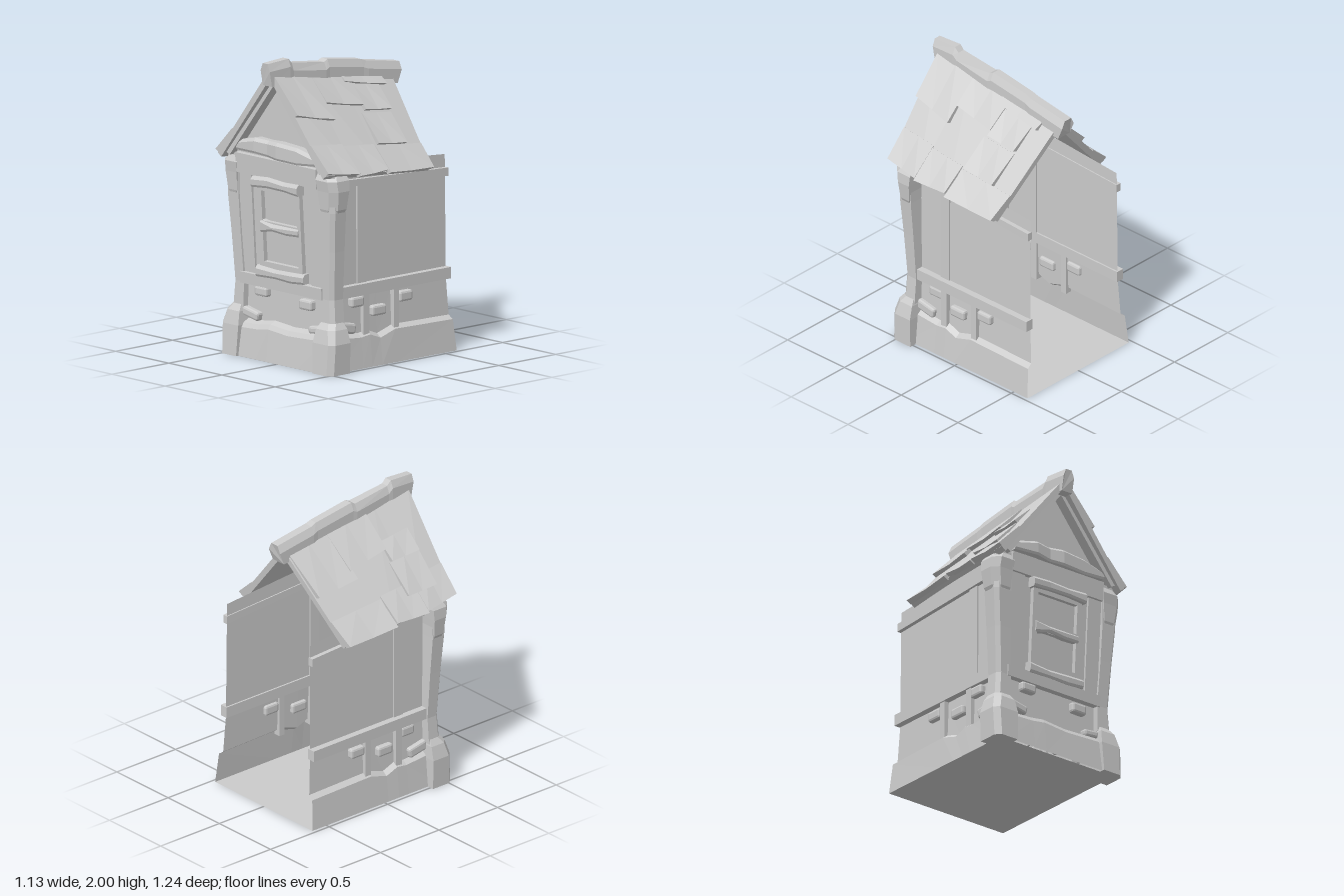
import * as THREE from 'three';
import { RoundedBoxGeometry } from 'three/addons/geometries/RoundedBoxGeometry.js';

const solidMat = new THREE.MeshStandardMaterial({ color: 0xcccccc, flatShading: true });
const sheetMat = new THREE.MeshStandardMaterial({ color: 0xcccccc, flatShading: true, side: THREE.DoubleSide });
const lerp = THREE.MathUtils.lerp;

// Joins cross-sections (arrays of [x, y, z]); closed lofts get end caps and outward winding
function loft(name, rings, closed = true) {
  const n = rings[0].length, pts = rings.flat(), tris = [];
  for (let r = 0; r < rings.length - 1; r++) {
    for (let i = 0; i < (closed ? n : n - 1); i++) {
      const a = r * n + i, b = r * n + (i + 1) % n;
      tris.push([a, b, b + n], [a, b + n, a + n]);
    }
  }
  if (closed) {
    const e = (rings.length - 1) * n;
    for (let i = 1; i < n - 1; i++) tris.push([0, i + 1, i], [e, e + i, e + i + 1]);
    const v = pts.map(p => new THREE.Vector3(...p));
    const volume = tris.reduce((s, [a, b, c]) => s + v[a].dot(v[b].clone().cross(v[c])), 0);
    if (volume < 0) tris.forEach(t => t.reverse());
  }
  const geo = new THREE.BufferGeometry();
  geo.setAttribute('position', new THREE.Float32BufferAttribute(pts.flat(), 3));
  geo.setIndex(tris.flat());
  const flat = geo.toNonIndexed();
  flat.computeVertexNormals();
  const mesh = new THREE.Mesh(flat, closed ? solidMat : sheetMat);
  mesh.name = name;
  return mesh;
}

// Box given by its limits
function box(name, x0, x1, y0, y1, z0, z1) {
  const m = new THREE.Mesh(new THREE.BoxGeometry(x1 - x0, y1 - y0, z1 - z0), solidMat);
  m.position.set((x0 + x1) / 2, (y0 + y1) / 2, (z0 + z1) / 2);
  m.name = name;
  return m;
}

function brick(w, h, d, x, y, z, turnY = 0, tilt = 0) {
  const m = new THREE.Mesh(new RoundedBoxGeometry(w, h, d, 1, 0.015), solidMat);
  m.position.set(x, y, z);
  m.rotation.set(0, turnY, tilt);
  m.name = 'brick';
  return m;
}

// Uneven horizontal beam along x: stations of [x, bottom, top, front z]
const beamX = (name, stations, back) => loft(name, stations.map(([x, b, t, z]) =>
  [[x, b, back], [x, b, z - 0.008], [x, b + 0.015, z], [x, t - 0.02, z], [x, t, z - 0.02], [x, t, back]]));

// Point on a roof slope: u runs front to back, v ridge to eave, h is height above the slope
function roofPoint(s, u, v, h) {
  const bulge = 0.015 * Math.sin(Math.PI * u) * v;
  const x = lerp(0.03, 0.51, v) + bulge;
  const y = lerp(lerp(1.91, 1.77, u), lerp(1.32, 1.245, u), v);
  const z = lerp(0.58 - 0.02 * v, -0.46 + 0.1 * v, u);
  return [s * (x + 0.78 * h), y + 0.62 * h, z];
}

function buildRoof() {
  const roof = new THREE.Group();
  roof.name = 'roof';
  // Shingles as [u0, u1, v0, v1 at u0, v1 at u1]
  const eaves = [[0, 0.28, 0.7, 1.0, 1.02], [0.28, 0.56, 0.72, 1.04, 1.0], [0.57, 1, 0.74, 1.03, 1.02]];
  const tiles = {
    '1': [[0, 0.31, 0, 0.42, 0.47], [0.31, 0.62, 0, 0.3, 0.33], [0.56, 0.9, 0, 0.09, 0.12],
      [0.62, 0.85, 0.1, 0.38, 0.38], [0.59, 0.85, 0.4, 0.73, 0.74], ...eaves],
    '-1': [[0.66, 0.99, 0, 0.5, 0.5], [0.36, 0.68, 0, 0.38, 0.41], [0.13, 0.36, 0.3, 0.52, 0.5],
      [0.12, 0.37, 0.5, 0.85, 0.83], ...eaves],
  };
  for (const s of [1, -1]) {
    const stations = [0, 0.28, 0.56, 0.8, 1];
    roof.add(loft('roofSlope', stations.map(u =>
      [[0, 0], [1, 0], [1, -0.04], [0, -0.04]].map(([v, h]) => roofPoint(s, u, v, h)))));
    for (const [u0, u1, v0, a, b] of tiles[s]) {
      const mid = (u0 + u1) / 2;
      roof.add(loft('shingle', [[u0, a, 0.03], [mid, (a + b) / 2, 0.022], [u1, b, 0.032]].map(([u, v1, h]) =>
        [[v0, -0.01], [v0, 0.006], [v1, h], [v1 - 0.01, -0.01]].map(([v, k]) => roofPoint(s, u, v, k)))));
    }
    // Sloping boards under the front overhang
    roof.add(loft('gableBoard', [0.54, 0.45].map(z =>
      [[0, 1.9], [s * 0.47, 1.34], [s * 0.42, 1.315], [0, 1.84]].map(([x, y]) => [x, y, z]))));
  }
  // Ridge beam: [z top, z bottom, half width, bottom, top]
  const ridge = [[0.62, 0.6, 0.043, 1.84, 1.99], [0.44, 0.44, 0.048, 1.83, 2.0], [0.41, 0.41, 0.045, 1.82, 1.97],
    [0.13, 0.13, 0.055, 1.79, 1.935], [0.1, 0.1, 0.052, 1.79, 1.95], [-0.2, -0.2, 0.05, 1.75, 1.905],
    [-0.24, -0.24, 0.055, 1.74, 1.89], [-0.53, -0.495, 0.055, 1.71, 1.845]];
  roof.add(loft('ridgeBeam', ridge.map(([zt, zb, w, b, t]) =>
    [[-w, b, zb], [w, b, zb], [w, t - 0.05, zt], [w * 0.55, t, zt], [-w * 0.55, t, zt], [-w, t - 0.05, zt]])));
  return roof;
}

// Leaning front wall, built around its foot at y = 0.5
function buildFront() {
  const front = new THREE.Group();
  front.name = 'frontWall';
  const f = (name, x0, x1, y0, y1, d) => front.add(box(name, x0, x1, y0 - 0.5, y1 - 0.5, -0.01, d));
  f('wallPanel', -0.41, 0.41, 0.5, 1.36, 0.005);
  f('uprightBoard', -0.385, -0.265, 0.54, 1.22, 0.02);
  f('uprightBoard', 0.265, 0.37, 0.54, 1.22, 0.02);
  f('lowerRail', -0.39, 0.38, 0.475, 0.55, 0.045);
  f('upperRail', -0.385, 0.37, 1.21, 1.34, 0.04);

  // Window frame with two openings
  const rect = (P, x0, x1, y0, y1) => {
    const p = new P();
    p.moveTo(x0, y0); p.lineTo(x1, y0); p.lineTo(x1, y1); p.lineTo(x0, y1); p.closePath();
    return p;
  };
  const shape = rect(THREE.Shape, -0.2, 0.2, 0.1, 0.66);
  shape.holes.push(rect(THREE.Path, -0.16, 0.165, 0.15, 0.36), rect(THREE.Path, -0.16, 0.165, 0.42, 0.62));
  const frame = new THREE.Mesh(new THREE.ExtrudeGeometry(shape, { depth: 0.035, bevelEnabled: false }), solidMat);
  frame.name = 'windowFrame';
  front.add(frame);
  front.add(beamX('windowSill', [[-0.22, 0.045, 0.12, 0.062], [-0.05, 0.05, 0.11, 0.055],
    [0.1, 0.045, 0.115, 0.06], [0.225, 0.055, 0.12, 0.058]], 0));
  front.add(beamX('windowHeader', [[-0.22, 0.64, 0.71, 0.07], [-0.08, 0.65, 0.72, 0.062],
    [0.08, 0.65, 0.71, 0.066], [0.215, 0.64, 0.715, 0.07]], 0));
  front.add(beamX('windowBar', [[-0.175, 0.34, 0.43, 0.045], [-0.06, 0.365, 0.41, 0.055],
    [0.07, 0.355, 0.415, 0.05], [0.18, 0.36, 0.42, 0.045]], 0));
  front.position.set(0, 0.5, 0.435);
  front.rotation.x = Math.atan(0.06);
  return front;
}

function buildSide(s) {
  const side = new THREE.Group();
  side.name = s > 0 ? 'leftSide' : 'rightSide';
  // Thin wall with flared foot; stations of [z, skirt height]
  side.add(loft('sideWall', [[0.45, 0.22], [0.2, 0.2], [0.12, 0.21], [0.03, 0.175], [-0.1, 0.215], [-0.62, 0.205]].map(([z, h], i) => {
    const back = i === 5, top = lerp(1.36, 1.285, (0.45 - z) / 1.07);
    return [[0.475, 0, z], [0.455, h, back ? -0.605 : z], [0.42, h + 0.025, back ? -0.6 : z],
      [0.41, 0.48, back ? -0.585 : z], [0.405, top, back ? -0.58 : z]].map(([x, y, w]) => [s * x, y, w]);
  }), false));
  // Rails and boards: [name, depth, z front, z back, [y range front], [y range back]]
  const boards = [['middleRail', 0.455, 0.42, -0.59, [0.475, 0.55], [0.475, 0.55]],
    ['topRail', 0.435, 0.42, -0.585, [1.21, 1.25], [1.145, 1.2]],
    ['upperBoard', 0.418, 0.2, 0.125, [0.54, 1.21], [0.54, 1.205]],
    ['lowerPost', 0.445, 0.17, 0.12, [0.2, 0.48], [0.2, 0.48]],
    ['lowerPost', 0.445, -0.095, -0.14, [0.2, 0.48], [0.2, 0.48]]];
  for (const [name, x, z0, z1, a, b] of boards) {
    side.add(loft(name, [[z0, a], [z1, b]].map(([z, [y0, y1]]) =>
      [[s * 0.398, y0, z], [s * x, y0, z], [s * x, y1, z], [s * 0.398, y1, z]])));
  }
  for (const [z, y, w, tilt] of [[0.22, 0.435, 0.11, 0], [0.03, 0.355, 0.125, 0], [-0.205, 0.415, 0.115, 0], [0.31, 0.275, 0.15, -0.2]])
    side.add(brick(w, 0.07, 0.06, s * 0.42, y, z, s * Math.PI / 2, tilt * s));

  // Stone foot, timber post and bracket at the front corner: [y, inner x, outer x, inner z, outer z]
  const corner = (name, rows, c) => side.add(loft(name, rows.map(([y, xi, xo, zi, zo]) =>
    [[xi, zi], [xo, zi], [xo, zo - c], [xo - c, zo], [xi, zo]].map(([x, z]) => [s * x, y, z]))));
  corner('cornerStone', [[0, 0.36, 0.525, 0.365, 0.54], [0.2, 0.35, 0.53, 0.365, 0.53],
    [0.29, 0.36, 0.505, 0.37, 0.51], [0.33, 0.375, 0.48, 0.38, 0.48]], 0.035);
  corner('cornerPost', [[0.3, 0.36, 0.48, 0.37, 0.475], [0.48, 0.36, 0.465, 0.37, 0.47],
    [0.8, 0.375, 0.485, 0.375, 0.485], [1.06, 0.38, 0.505, 0.38, 0.5], [1.33, 0.37, 0.5, 0.38, 0.505]], 0.025);
  corner('cornerBracket', [[1.03, 0.41, 0.49, 0.4, 0.49], [1.08, 0.39, 0.515, 0.385, 0.505],
    [1.2, 0.38, 0.53, 0.375, 0.515], [1.27, 0.37, 0.525, 0.37, 0.525], [1.32, 0.37, 0.49, 0.38, 0.5]], 0.045);
  return side;
}

export function createModel() {
  const house = new THREE.Group();
  house.name = 'house';
  house.add(loft('floor', [[[-0.475, 0, -0.62], [0.475, 0, -0.62]], [[-0.475, 0, 0.5], [0.475, 0, 0.5]]], false));

  // Front foot and lower wall
  house.add(loft('frontSkirt', [[-0.42, 0.215], [-0.2, 0.225], [-0.1, 0.24], [0.08, 0.225], [0.2, 0.23], [0.42, 0.24]].map(([x, h]) =>
    [[x, 0, 0.52], [x, h - 0.03, 0.5], [x, h, 0.48], [x, h + 0.02, 0.435], [x, 0.5, 0.43]]), false));
  house.add(brick(0.115, 0.065, 0.06, -0.205, 0.44, 0.445), brick(0.115, 0.07, 0.06, 0.213, 0.415, 0.445),
    brick(0.15, 0.06, 0.06, -0.3, 0.28, 0.45, 0, -0.2), brick(0.12, 0.05, 0.06, 0.31, 0.265, 0.45, 0, 0.1));

  house.add(buildFront());
  // Gable infill and the uneven crossbeam below it
  house.add(loft('gableWall', [[[-0.42, 1.33, 0.47], [0.42, 1.33, 0.47]], [[0, 1.87, 0.47], [0, 1.87, 0.47]]], false));
  house.add(beamX('gableBeam', [[-0.37, 1.355, 1.42, 0.53], [-0.19, 1.36, 1.46, 0.545], [-0.08, 1.35, 1.455, 0.53],
    [0.02, 1.345, 1.46, 0.55], [0.2, 1.34, 1.45, 0.54], [0.37, 1.355, 1.41, 0.53]], 0.45));
  house.add(buildSide(1), buildSide(-1), buildRoof());
  return house;
}
